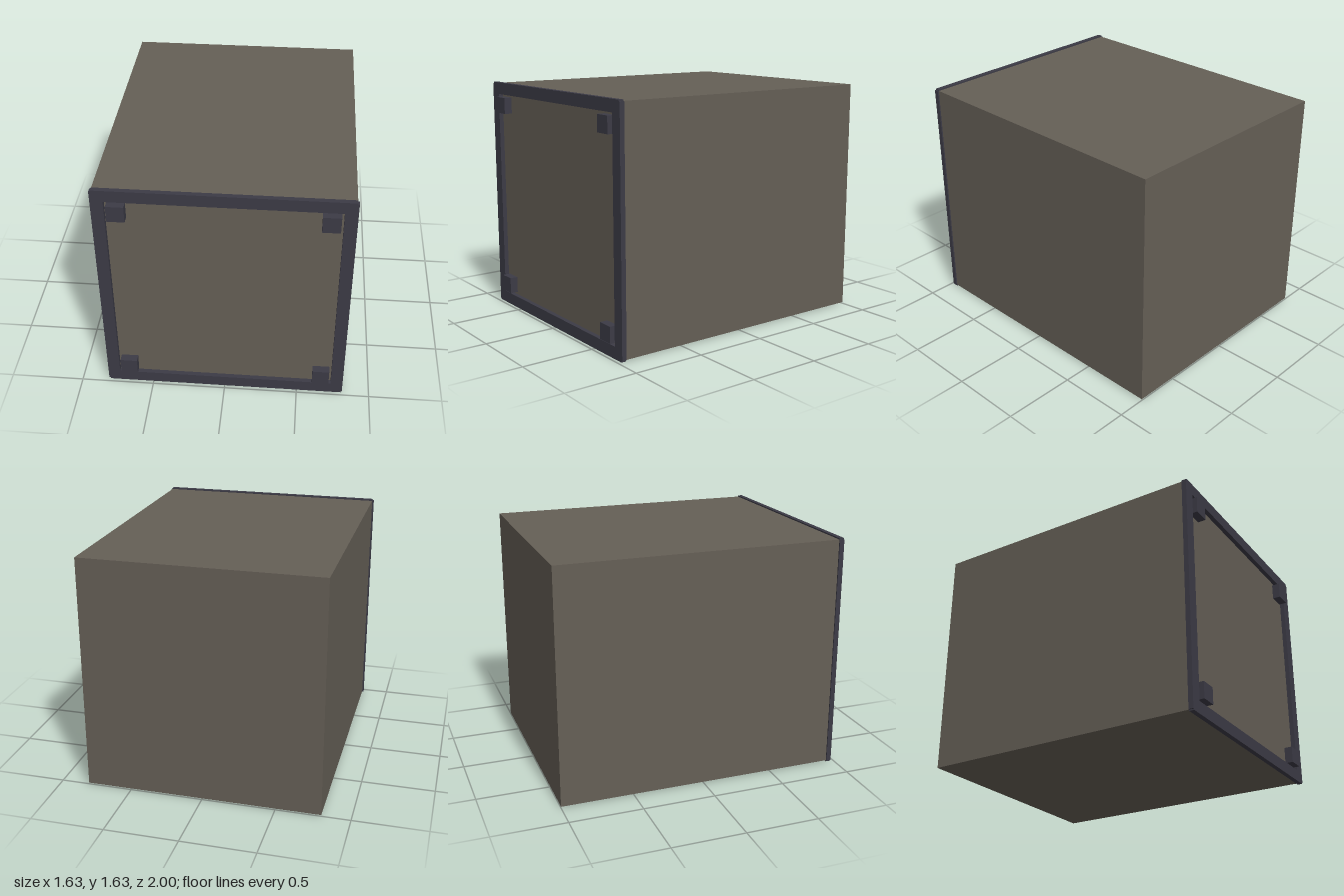
import * as THREE from 'three';

export function createModel() {
  const model = new THREE.Group();
  const bodyMat = new THREE.MeshStandardMaterial({ color: 0x655f56 });
  bodyMat.name = 'warm grey';
  const trimMat = new THREE.MeshStandardMaterial({ color: 0x3c3b46 });
  trimMat.name = 'dark slate';

  // Box given by its minimum and maximum corners
  function box(name, material, [x0, y0, z0], [x1, y1, z1]) {
    const mesh = new THREE.Mesh(new THREE.BoxGeometry(x1 - x0, y1 - y0, z1 - z0), material);
    mesh.position.set((x0 + x1) / 2, (y0 + y1) / 2, (z0 + z1) / 2);
    mesh.name = name;
    model.add(mesh);
  }

  // Main block
  box('body', bodyMat, [-0.806, 0.009, -1], [0.806, 1.621, 0.945]);

  // Raised border around the front face; the corners are slightly stepped
  const back = 0.943, front = 0.976;
  box('frameBottom', trimMat, [-0.806, 0, back], [0.806, 0.082, front]);
  box('frameTop', trimMat, [-0.806, 1.548, back], [0.806, 1.63, front]);
  for (const [side, s] of [['Left', 1], ['Right', -1]]) {
    const xs = [0.733 * s, 0.815 * s].sort((a, b) => a - b);
    box('frame' + side, trimMat, [xs[0], 0.009, back], [xs[1], 1.621, front]);

    // Square pads in the front corners
    const px = [0.603 * s, 0.717 * s].sort((a, b) => a - b);
    box('lowerPad' + side, trimMat, [px[0], 0.1, 0.944], [px[1], 0.213, 1]);
    box('upperPad' + side, trimMat, [px[0], 1.417, 0.944], [px[1], 1.53, 1]);
  }

  return model;
}
